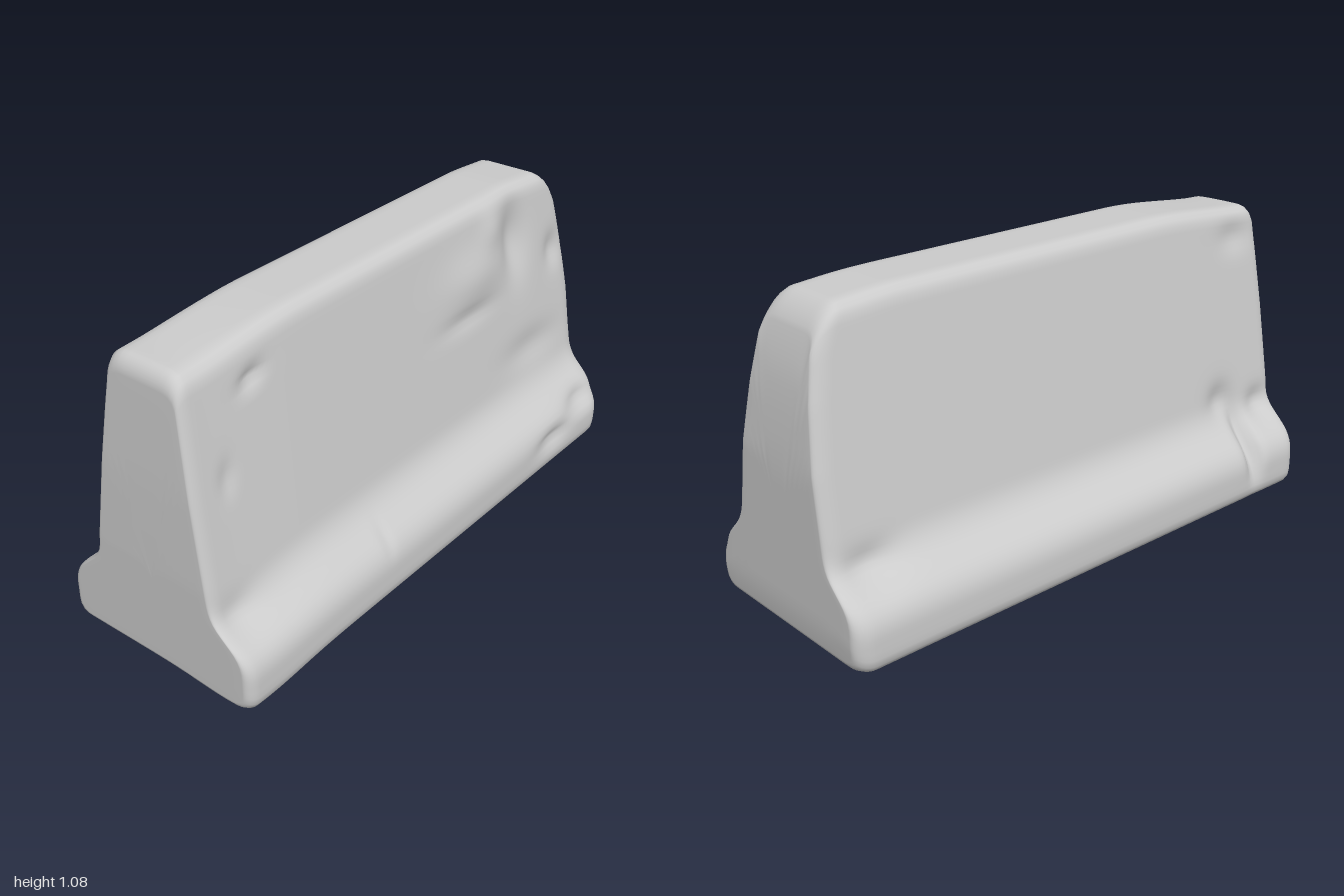
import * as THREE from 'three';

// Half cross-section corners: [z, y, rounding]
const CORNERS = [
  [0.375, 0.02, 0.05], [0.375, 0.195, 0.06], [0.245, 0.325, 0.06], [0.135, 1.075, 0.05],
];

// Closed, rounded barrier outline: underside, front, top, back
function outline(count) {
  const mirrored = CORNERS.map(([z, y, r]) => [-z, y, r]).reverse();
  const pts = [...CORNERS, ...mirrored];
  const shape = new THREE.Shape();
  shape.moveTo(0, 0.02);
  pts.forEach(([z, y, r], i) => {
    const c = new THREE.Vector2(z, y);
    const toward = (k) => {
      const [nz, ny] = pts[(k + pts.length) % pts.length];
      return new THREE.Vector2(nz, ny).sub(c).setLength(r).add(c);
    };
    const a = toward(i - 1), b = toward(i + 1);
    shape.lineTo(a.x, a.y);
    shape.quadraticCurveTo(z, y, b.x, b.y);
  });
  shape.lineTo(0, 0.02);
  return shape.getSpacedPoints(count).slice(0, count);
}

// Piecewise linear lookup in [input, output] pairs
function lookup(table, v) {
  for (let i = 1; i < table.length; i++) {
    const [a, fa] = table[i - 1], [b, fb] = table[i];
    if (v <= b) return THREE.MathUtils.mapLinear(Math.max(v, a), a, b, fa, fb);
  }
  return table[table.length - 1][1];
}

// Length of each worn end by height
const LEFT_END = [[0, 0.98], [0.12, 0.99], [0.6, 0.982], [0.8, 0.96], [0.95, 0.93], [1.08, 0.87]];
const RIGHT_END = [[0, 1], [0.4, 1], [0.7, 0.992], [1.08, 0.97]];

// Wear: [x, y, side (1 front, -1 back), x radius, y radius, depth (negative bulges)]
const DENTS = [
  [0.38, 0.84, 1, 0.16, 0.09, -0.02], [0.5, 0.97, 1, 0.06, 0.06, -0.012],
  [0.33, 0.71, 1, 0.14, 0.03, 0.012], [0.64, 0.88, 1, 0.07, 0.12, 0.035],
  [0.88, 0.78, 1, 0.05, 0.06, 0.02], [0.7, 0.46, 1, 0.16, 0.06, 0.015],
  [0.66, 0.14, 1, 0.1, 0.03, 0.025], [0.88, 0.2, 1, 0.1, 0.04, 0.035],
  [-0.7, 0.95, 1, 0.05, 0.025, 0.02], [-0.92, 0.3, 1, 0.08, 0.05, 0.02],
  [-0.85, 0.72, 1, 0.03, 0.05, 0.01], [-0.31, 0.23, 1, 0.02, 0.04, 0.008],
  [-0.78, 0.22, -1, 0.035, 0.1, 0.06], [-0.72, 0.38, -1, 0.06, 0.06, 0.025],
  [-0.92, 0.33, -1, 0.06, 0.05, 0.025], [-0.85, 0.97, -1, 0.08, 0.05, 0.015],
  [0.86, 0.3, -1, 0.1, 0.05, 0.03],
];

function weather(p) {
  const { x, y, z } = p;
  for (const [dx, dy, side, rx, ry, depth] of DENTS) {
    if (z * side <= 0) continue;
    const g = Math.exp(-(((x - dx) / rx) ** 2) - ((y - dy) / ry) ** 2);
    p.z -= side * depth * g * Math.min(1, Math.abs(z) / 0.12);
  }
  // Top sags toward the ends, one foot corner settles lower
  p.y -= 0.03 * y * THREE.MathUtils.smoothstep(-x, 0.45, 1);
  p.y -= 0.015 * y * THREE.MathUtils.smoothstep(x, 0.6, 0.9);
  p.y -= 0.02 * Math.exp(-(((x + 0.88) / 0.18) ** 2) - ((z - 0.27) / 0.15) ** 2);
  return p;
}

// Stations along the length: flat cap, rounded edge, body, rounded edge, flat cap
function stations() {
  const list = [];
  const end = (sign, r, shrink) => {
    const rings = [];
    for (let k = 0; k < 8; k++) rings.push([sign, (1 - shrink) * k / 8]);
    for (let k = 0; k < 8; k++) {
      const a = (k / 8) * Math.PI / 2;
      rings.push([sign * (1 - r * (1 - Math.cos(a))), 1 - shrink * (1 - Math.sin(a))]);
    }
    return rings;
  };
  const rL = 0.045, rR = 0.065;
  list.push(...end(-1, rL, 0.08));
  for (let k = 0; k <= 110; k++) list.push([THREE.MathUtils.lerp(-1 + rL, 1 - rR, k / 110), 1]);
  list.push(...end(1, rR, 0.11).reverse());
  return list;
}

function barrierGeometry() {
  const n = 140, midY = 0.35;
  const ring = outline(n), rows = stations();
  const pos = [], index = [];
  rows.forEach(([u, s], i) => {
    ring.forEach((q, j) => {
      const y = midY + (q.y - midY) * s;
      const x = u * lookup(u > 0 ? LEFT_END : RIGHT_END, y);
      const p = weather(new THREE.Vector3(x, y, q.x * s));
      pos.push(p.x, p.y, p.z);
      if (i === rows.length - 1) return;
      const a = i * n + j, b = i * n + (j + 1) % n;
      index.push(a, a + n, b + n, a, b + n, b);
    });
  });
  const g = new THREE.BufferGeometry();
  g.setAttribute('position', new THREE.Float32BufferAttribute(pos, 3));
  g.setIndex(index);
  g.computeVertexNormals();
  return g;
}

export function createModel() {
  const group = new THREE.Group();
  group.name = 'concreteBarrier';
  const body = new THREE.Mesh(barrierGeometry(), new THREE.MeshStandardMaterial({ color: 0xcccccc }));
  body.name = 'barrierBody';
  group.add(body);
  return group;
}
